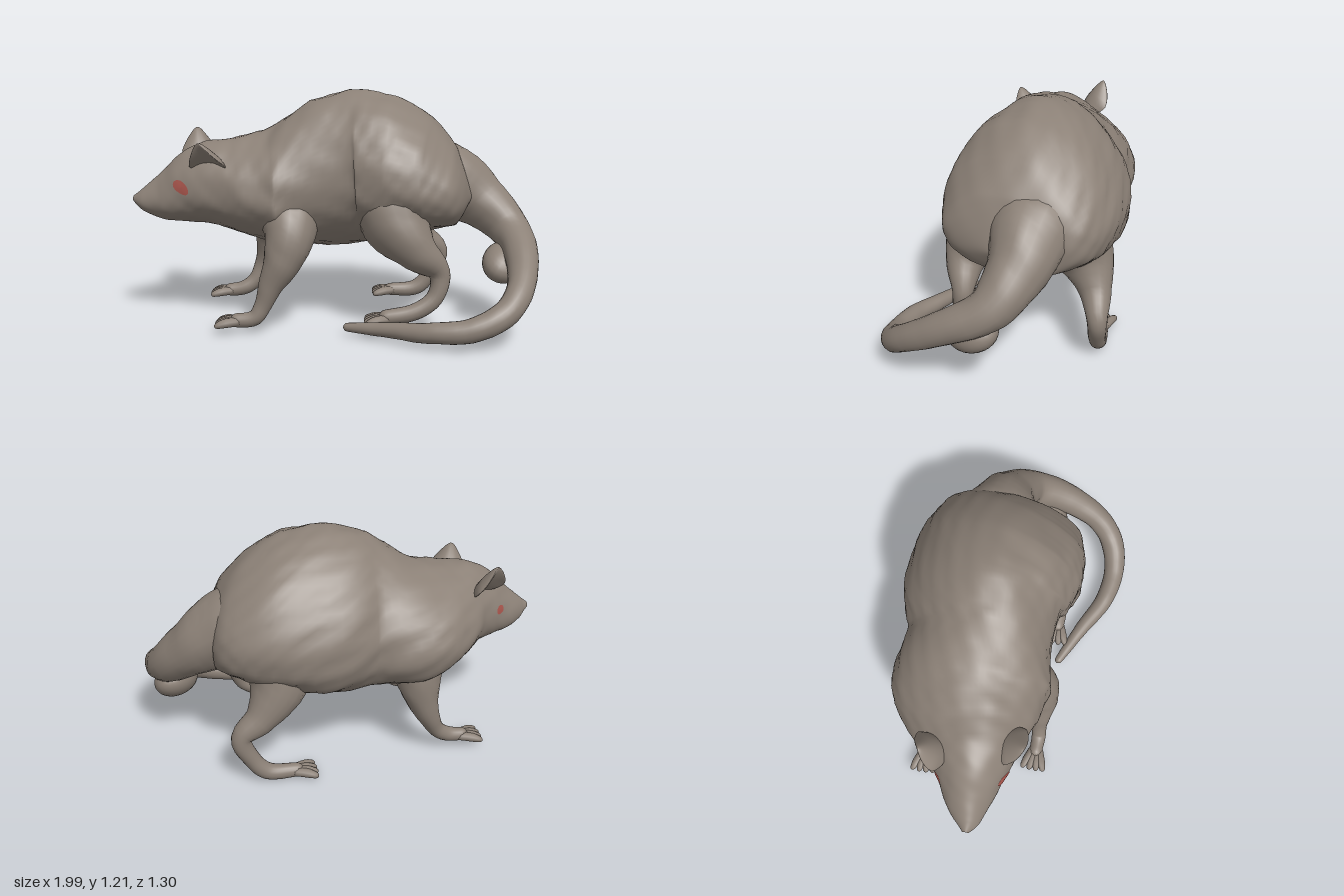
import * as THREE from 'three';

const fur = new THREE.MeshStandardMaterial({ color: 0x8c8177 });
fur.name = 'greyBrownFur';
const eyeRed = new THREE.MeshStandardMaterial({ color: 0xa8554c, side: THREE.DoubleSide });
eyeRed.name = 'eyeRed';
const V = (x, y, z) => new THREE.Vector3(x, y, z);

// Lumpy fur relief, as a scalar offset
const lump = (p) =>
  Math.sin(21 * p.x + 9 * p.y) * Math.sin(19 * p.y - 8 * p.z + 1) * 0.4 +
  Math.sin(33 * p.z + 17 * p.x + 2) * Math.sin(37 * p.y + 11 * p.x) * 0.35 +
  Math.sin(61 * p.x - 23 * p.z) * Math.sin(57 * p.y + 31 * p.z) * 0.25;

// Skin over a list of closed rings
function skin(rows, name, material = fur) {
  const m = rows[0].length, pos = [], idx = [];
  rows.forEach((row) => row.forEach((p) => pos.push(p.x, p.y, p.z)));
  for (let i = 0; i < rows.length - 1; i++)
    for (let j = 0; j < m; j++) {
      const a = i * m + j, b = i * m + ((j + 1) % m), c = a + m, d = b + m;
      idx.push(a, b, c, b, d, c);
    }
  const g = new THREE.BufferGeometry();
  g.setAttribute('position', new THREE.Float32BufferAttribute(pos, 3));
  g.setIndex(idx);
  g.computeVertexNormals();
  const mesh = new THREE.Mesh(g, material);
  mesh.name = name;
  return mesh;
}

// Round tapering limb through [x, y, z, radius] points
function limb(points, name, rows = 44, sides = 20) {
  const path = new THREE.CatmullRomCurve3(points.map((p) => V(p[0], p[1], p[2])));
  const radii = new THREE.CatmullRomCurve3(points.map((p) => V(p[3], 0, 0)));
  const first = path.getPoint(0), last = path.getPoint(1);
  const n = V(0.31, 0.22, 0.92), rings = [];
  for (let k = 0; k <= rows; k++) {
    const t = 0.5 - 0.5 * Math.cos((Math.PI * k) / rows);
    const c = path.getPoint(t), T = path.getTangent(t), r = radii.getPoint(t).x;
    n.addScaledVector(T, -n.dot(T)).normalize();
    const b = T.clone().cross(n);
    const d = Math.min(1, Math.min(c.distanceTo(first), c.distanceTo(last)) / r);
    const round = Math.sqrt(1 - (1 - d) ** 2);
    rings.push(Array.from({ length: sides }, (_, j) => {
      const a = (j / sides) * Math.PI * 2;
      const dir = n.clone().multiplyScalar(Math.cos(a)).addScaledVector(b, Math.sin(a));
      const p = c.clone().addScaledVector(dir, r * round);
      return p.addScaledVector(dir, lump(p) * r * 0.05 * round);
    }));
  }
  return skin(rings, name);
}

// Body stations from nose to rump: x, z, centre y, half height, half width
const stations = [
  [-0.985, 0.575, 0.64, 0.015, 0.015], [-0.94, 0.55, 0.635, 0.06, 0.06],
  [-0.86, 0.49, 0.655, 0.125, 0.115], [-0.77, 0.43, 0.7, 0.18, 0.165],
  [-0.67, 0.36, 0.72, 0.215, 0.23], [-0.55, 0.26, 0.705, 0.25, 0.33],
  [-0.4, 0.14, 0.7, 0.305, 0.4], [-0.19, 0.03, 0.765, 0.385, 0.36],
  [0.0, -0.09, 0.795, 0.405, 0.42], [0.2, -0.15, 0.795, 0.375, 0.435],
  [0.38, -0.19, 0.765, 0.29, 0.4], [0.5, -0.22, 0.71, 0.2, 0.31],
  [0.575, -0.25, 0.66, 0.012, 0.02],
];
const spine = new THREE.CatmullRomCurve3(stations.map((s) => V(s[0], s[2], s[1])));
const sizes = new THREE.CatmullRomCurve3(stations.map((s) => V(s[4], s[3], 0)));

function bodyPoint(t, a, grow = 1) {
  const c = spine.getPoint(t), T = spine.getTangent(t), size = sizes.getPoint(t);
  const side = V(T.z, 0, -T.x).normalize();
  const w = size.x * Math.cos(a) * (1 - 0.17 * Math.sin(a));
  const p = c.clone().addScaledVector(side, w);
  p.y += size.y * Math.sin(a);
  p.z += 0.3 * size.y * size.y * Math.sin(a);
  const out = p.clone().sub(c);
  const relief = 1 + lump(p) * 0.028;
  return c.addScaledVector(out, relief * grow);
}

function body() {
  const rows = 120, sides = 80, rings = [];
  for (let i = 0; i <= rows; i++) {
    const t = 0.5 - 0.5 * Math.cos((Math.PI * i) / rows);
    rings.push(Array.from({ length: sides }, (_, j) => bodyPoint(t, (j / sides) * Math.PI * 2)));
  }
  return skin(rings, 'body');
}

// Oval eye laid on the head surface, slanting down towards the tail
function eye(t, angle, size, slant, name) {
  const rings = [0.001, 0.5, 1].map((r) => Array.from({ length: 20 }, (_, j) => {
    const a = (j / 20) * Math.PI * 2, u = r * size * Math.cos(a), v = r * size * Math.sin(a);
    return bodyPoint(t + 0.028 * u, angle + 0.18 * v + slant * u, 1.025);
  }));
  return skin(rings, name, eyeRed);
}

// Cupped ear standing along one direction and spread along another
function ear(centre, up, across, name) {
  const g = new THREE.SphereGeometry(1, 24, 16);
  const p = g.attributes.position;
  for (let i = 0; i < p.count; i++) {
    const x = p.getX(i), y = p.getY(i);
    const taper = y > 0 ? 1 - 0.5 * y : 1;
    p.setXYZ(i, x * 0.1 * taper, y * 0.115, p.getZ(i) * 0.022 + 0.05 * x * x);
  }
  const Y = up.normalize();
  const X = across.addScaledVector(Y, -across.dot(Y)).normalize();
  g.applyMatrix4(new THREE.Matrix4().makeBasis(X, Y, X.clone().cross(Y)).setPosition(centre));
  g.computeVertexNormals();
  const mesh = new THREE.Mesh(g, fur);
  mesh.name = name;
  return mesh;
}

// Leg with four toes fanned from its last point
function leg(points, name) {
  const group = new THREE.Group();
  group.name = name;
  group.add(limb(points, name + 'Limb'));
  const [a, b] = points.slice(-2);
  const heading = Math.atan2(b[2] - a[2], b[0] - a[0]);
  for (let i = 0; i < 4; i++) {
    const f = i - 1.5, h = heading + f * 0.25;
    const x = b[0] - Math.sin(heading) * f * 0.022, z = b[2] + Math.cos(heading) * f * 0.022;
    const at = (d, y, r) => [x + Math.cos(h) * d, y, z + Math.sin(h) * d, r];
    group.add(limb([at(-0.07, b[1], 0.024), at(0.02, b[1] - 0.003, 0.023),
      at(0.075, b[1] - 0.015, 0.013)], name + 'Toe', 10, 8));
  }
  return group;
}

export function createModel() {
  const rat = new THREE.Group();
  rat.name = 'rodent';
  rat.add(body());

  // Head details
  rat.add(eye(0.25, Math.PI - 0.1, 1, 0.16, 'leftEye'), eye(0.235, 0.1, 0.75, -0.08, 'rightEye'));
  rat.add(ear(V(-0.55, 0.87, 0.495), V(0, 0.62, 0.7), V(0.95, 0, -0.2), 'leftEar'));
  rat.add(ear(V(-0.795, 0.9, 0.235), V(-0.5, 0.8, -0.3), V(-0.5, 0, 0.83), 'rightEar'));

  // Legs from shoulder or hip to foot
  rat.add(leg([[-0.24, 0.62, 0.24, 0.18], [-0.16, 0.48, 0.36, 0.13], [-0.165, 0.37, 0.41, 0.1],
    [-0.21, 0.25, 0.45, 0.066], [-0.25, 0.13, 0.48, 0.042], [-0.28, 0.075, 0.505, 0.04],
    [-0.39, 0.06, 0.56, 0.034]], 'leftFrontLeg'));
  rat.add(leg([[-0.5, 0.62, 0.04, 0.18], [-0.52, 0.46, -0.04, 0.125], [-0.55, 0.33, -0.06, 0.088],
    [-0.59, 0.22, -0.05, 0.058], [-0.63, 0.12, -0.01, 0.042], [-0.68, 0.075, 0.03, 0.04],
    [-0.78, 0.06, 0.085, 0.034]], 'rightFrontLeg'));
  rat.add(leg([[0.24, 0.72, -0.04, 0.28], [0.32, 0.54, 0.09, 0.185], [0.42, 0.42, 0.1, 0.11],
    [0.52, 0.3, 0.035, 0.055], [0.51, 0.18, 0.06, 0.043], [0.43, 0.11, 0.12, 0.042],
    [0.27, 0.075, 0.21, 0.036]], 'leftHindLeg'));
  rat.add(leg([[0.17, 0.7, -0.29, 0.27], [0.11, 0.49, -0.43, 0.15], [0.16, 0.36, -0.53, 0.082],
    [0.24, 0.27, -0.605, 0.052], [0.2, 0.14, -0.58, 0.045], [0.13, 0.05, -0.54, 0.043],
    [-0.03, 0.036, -0.45, 0.034]], 'rightHindLeg'));

  // Tail sweeping round to the left side
  rat.add(limb([[0.22, 0.76, -0.24, 0.26], [0.42, 0.71, -0.33, 0.2], [0.58, 0.61, -0.38, 0.145],
    [0.74, 0.485, -0.36, 0.105],
    [0.87, 0.375, -0.19, 0.083], [0.93, 0.26, 0.0, 0.068], [0.9, 0.165, 0.14, 0.064],
    [0.78, 0.1, 0.25, 0.058], [0.6, 0.075, 0.31, 0.05], [0.4, 0.06, 0.31, 0.04],
    [0.13, 0.04, 0.32, 0.02]], 'tail', 90, 24));

  // Fleshy lobe under the tail root
  const lobe = new THREE.Mesh(new THREE.SphereGeometry(1, 24, 16), fur);
  lobe.name = 'tailLobe';
  lobe.scale.set(0.11, 0.09, 0.15);
  lobe.position.set(0.755, 0.325, -0.26);
  lobe.rotation.set(0.3, 0, -0.5);
  rat.add(lobe);
  return rat;
}
